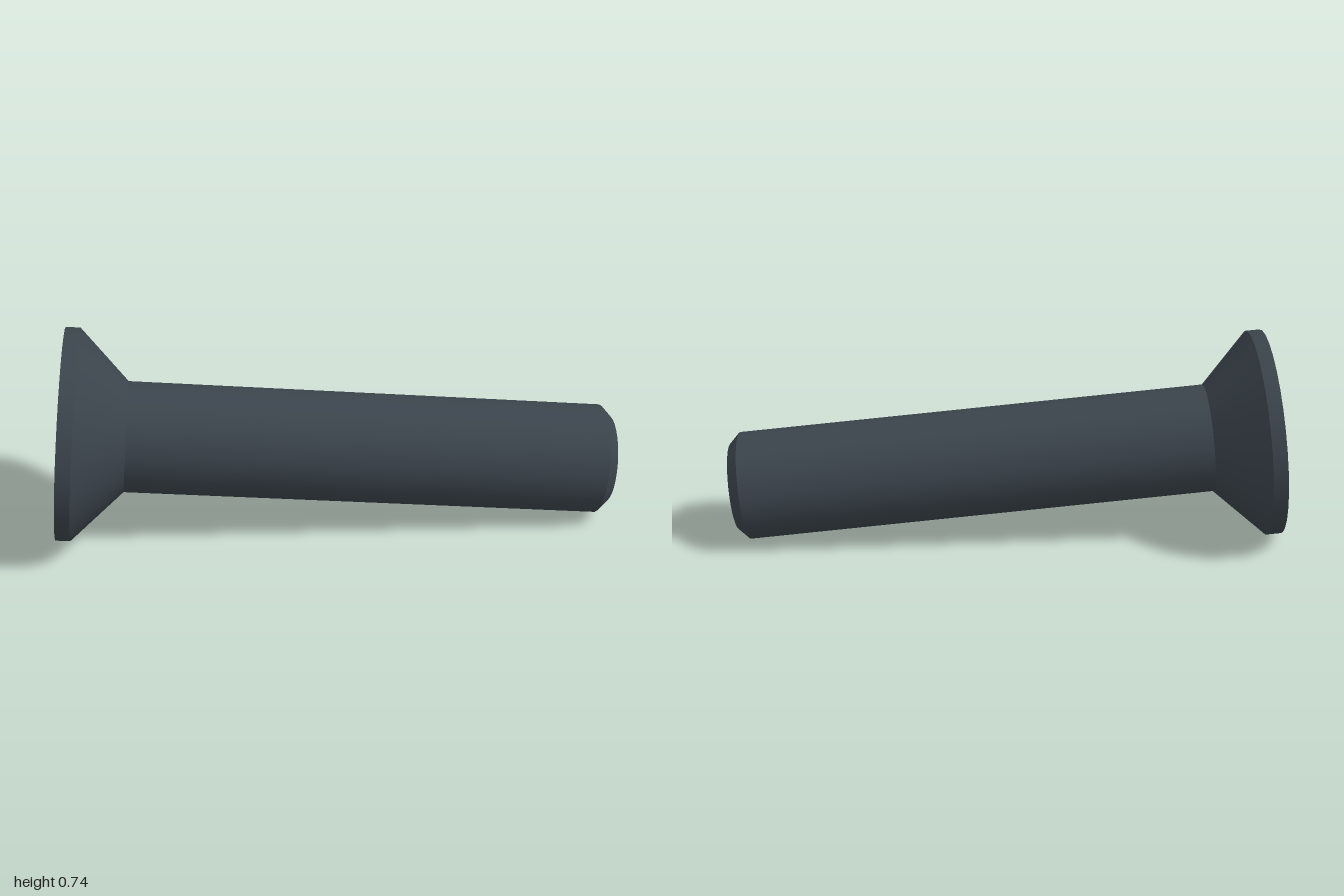
import * as THREE from 'three';

const SIDES = 32;
const HEAD_R = 0.369, SHAFT_R = 0.193, TIP_R = 0.155;
const ARM = 0.22, HALF = 0.068, DEPTH = 0.12; // cross recess

export function createModel() {
  const steel = new THREE.MeshStandardMaterial({ color: 0x3b444c });
  steel.name = 'dark steel';

  // Built along local +y, starting at the head face
  const screw = new THREE.Group();
  screw.name = 'screw';
  const add = (name, geometry) => {
    const mesh = new THREE.Mesh(geometry, steel);
    mesh.name = name;
    screw.add(mesh);
  };

  // Smooth round sections with sharp edges between them
  const section = (name, y0, r0, y1, r1) =>
    add(name, new THREE.CylinderGeometry(r1, r0, y1 - y0, SIDES, 1, true).translate(0, (y0 + y1) / 2, 0));
  section('headRim', 0, HEAD_R, 0.051, HEAD_R);
  section('headCone', 0.051, HEAD_R, 0.224, SHAFT_R);
  section('shaft', 0.224, SHAFT_R, 1.894, SHAFT_R);
  section('tipChamfer', 1.894, SHAFT_R, 1.932, TIP_R);
  add('tipFace', new THREE.CircleGeometry(TIP_R, SIDES).rotateX(-Math.PI / 2).translate(0, 1.932, 0));

  // Head face with a cross-shaped opening
  const face = new THREE.Shape().absarc(0, 0, HEAD_R, 0, Math.PI * 2, false);
  const cross = [];
  for (let i = 0; i < 4; i++) {
    const a = i * Math.PI / 2;
    for (const [x, y] of [[ARM, -HALF], [ARM, HALF], [HALF, HALF]]) {
      cross.push(new THREE.Vector2(x, y).rotateAround(new THREE.Vector2(), a));
    }
  }
  face.holes.push(new THREE.Path(cross));
  add('headFace', new THREE.ShapeGeometry(face, SIDES / 2).rotateX(Math.PI / 2));

  // Recess arms: a ramp and two side walls each, around a flat core
  const polygons = (...polys) => {
    const pos = [];
    for (const p of polys) {
      for (let i = 1; i < p.length - 1; i++) pos.push(...p[0], ...p[i], ...p[i + 1]);
    }
    const g = new THREE.BufferGeometry();
    g.setAttribute('position', new THREE.Float32BufferAttribute(pos, 3));
    g.computeVertexNormals();
    return g;
  };
  const w = HALF;
  for (let i = 0; i < 4; i++) {
    add('recessArm', polygons(
      [[ARM, 0, w], [w, DEPTH, w], [w, DEPTH, -w], [ARM, 0, -w]],
      [[ARM, 0, w], [w, 0, w], [w, DEPTH, w]],
      [[w, DEPTH, -w], [w, 0, -w], [ARM, 0, -w]]
    ).rotateY(i * Math.PI / 2));
  }
  add('recessFloor', polygons([[w, DEPTH, w], [-w, DEPTH, w], [-w, DEPTH, -w], [w, DEPTH, -w]]));

  // Lay the screw down along its slanted axis
  const axis = new THREE.Vector3(1, -0.096, 0.211).normalize();
  const side = new THREE.Vector3().crossVectors(axis, new THREE.Vector3(0, 1, 0)).normalize();
  const up = new THREE.Vector3().crossVectors(side, axis);
  screw.quaternion.setFromRotationMatrix(new THREE.Matrix4().makeBasis(side, axis, up));
  screw.position.set(-0.917, 0.368, -0.109);

  const model = new THREE.Group();
  model.name = 'countersunkScrew';
  model.add(screw);
  return model;
}
